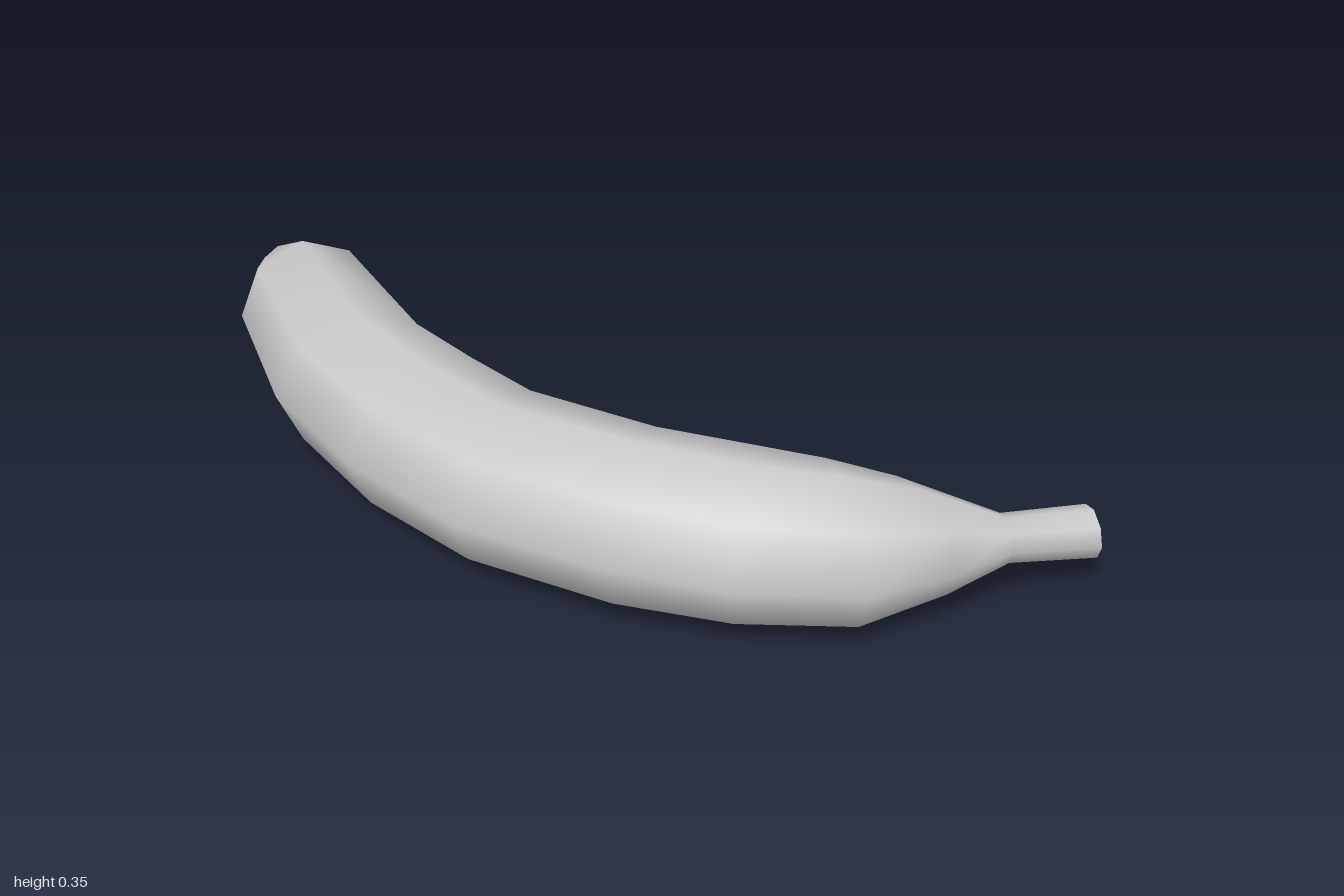
import * as THREE from 'three';

const SIDES = 8;

// Cross-sections from blossom end to stem tip:
// outer x, outer z, inner x, inner z, bottom y, top y
const SECTIONS = [
  [-1.00, -0.28, -0.96, -0.37, 0.09, 0.21],
  [-0.92, -0.10, -0.74, -0.33, 0.01, 0.32],
  [-0.67, 0.13, -0.43, -0.14, 0.00, 0.33],
  [-0.40, 0.27, -0.27, -0.085, 0.00, 0.34],
  [-0.09, 0.36, -0.12, -0.035, 0.015, 0.345],
  [0.24, 0.35, 0.16, -0.03, 0.02, 0.355],
  [0.48, 0.29, 0.35, -0.08, 0.022, 0.345],
  [0.71, 0.17, 0.46, -0.11, 0.028, 0.33],
  [0.82, 0.00, 0.58, -0.17, 0.06, 0.27],
  [0.87, -0.14, 0.80, -0.22, 0.10, 0.195],
  [1.00, -0.28, 0.92, -0.37, 0.07, 0.17],
];

// Eight-sided ring spanning the outer and inner curve of the fruit
function ring([ox, oz, ix, iz, bottom, top]) {
  const points = [];
  for (let j = 0; j < SIDES; j++) {
    const a = (j / SIDES) * Math.PI * 2;
    const t = (1 + Math.cos(a)) / 2;
    points.push(new THREE.Vector3(
      ix + (ox - ix) * t,
      (bottom + top) / 2 + Math.sin(a) * (top - bottom) / 2,
      iz + (oz - iz) * t,
    ));
  }
  return points;
}

function addMesh(group, name, points, index) {
  const geometry = new THREE.BufferGeometry().setFromPoints(points);
  geometry.setIndex(index);
  geometry.computeVertexNormals();
  const mesh = new THREE.Mesh(geometry, new THREE.MeshStandardMaterial({ color: 0xcccccc }));
  mesh.name = name;
  group.add(mesh);
}

// Flat fan closing one end
function addCap(group, name, points, flip) {
  const centre = points.reduce((s, p) => s.add(p), new THREE.Vector3()).divideScalar(SIDES);
  const index = [];
  for (let j = 0; j < SIDES; j++) {
    const k = (j + 1) % SIDES;
    index.push(SIDES, flip ? k : j, flip ? j : k);
  }
  addMesh(group, name, [...points, centre], index);
}

export function createModel() {
  const group = new THREE.Group();
  group.name = 'banana';
  const rings = SECTIONS.map(ring);

  // Peel and stem: one smooth skin through all rings
  const index = [];
  for (let i = 0; i < rings.length - 1; i++) {
    for (let j = 0; j < SIDES; j++) {
      const k = (j + 1) % SIDES;
      const a = i * SIDES + j, b = a + SIDES;
      const c = i * SIDES + k, d = c + SIDES;
      index.push(a, b, d, a, d, c);
    }
  }
  addMesh(group, 'peel', rings.flat(), index);

  addCap(group, 'blossomEnd', rings[0], false);
  addCap(group, 'stemTip', rings[rings.length - 1], true);
  return group;
}
